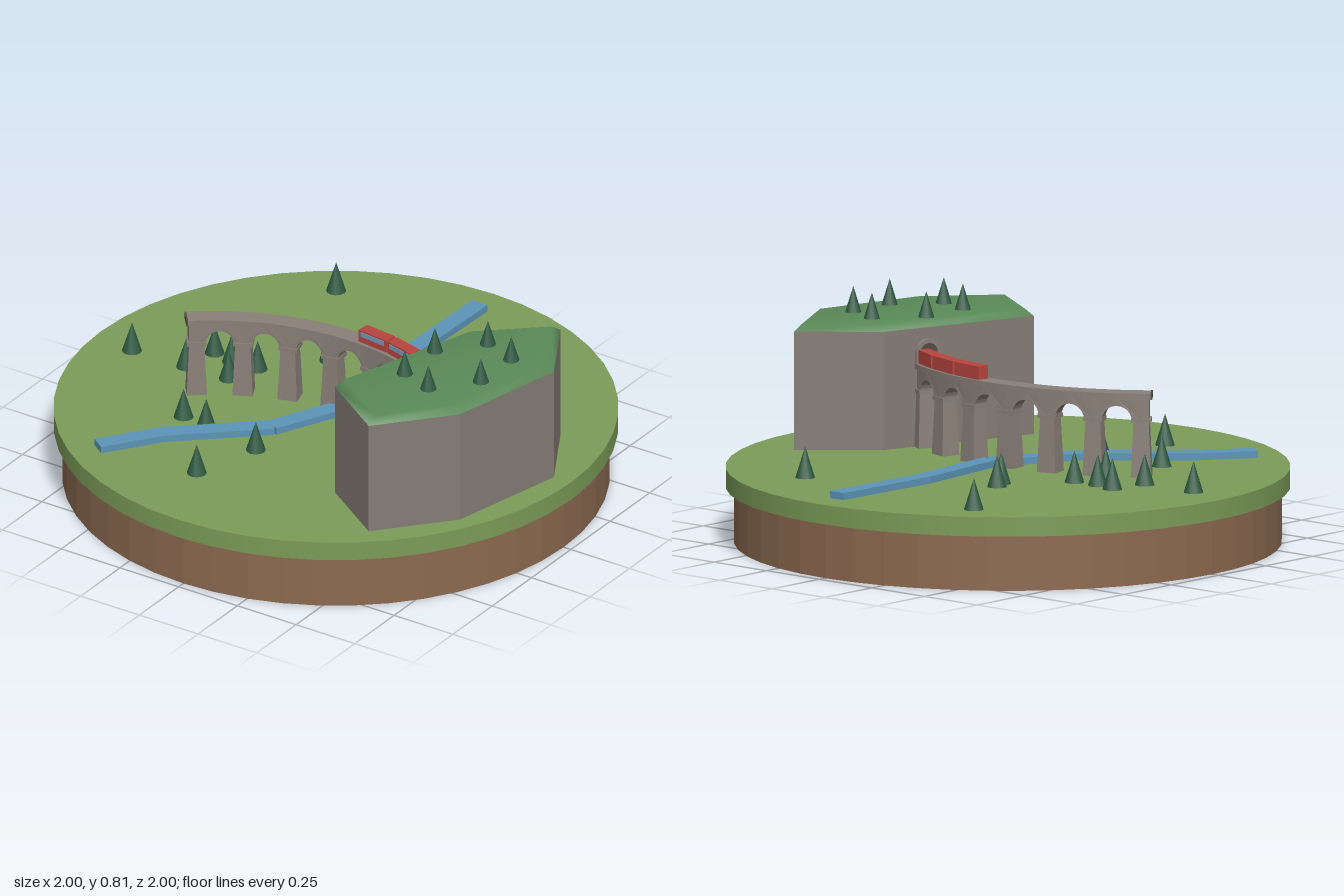
import * as THREE from 'three';

const mat = (name, color, extra = {}) => Object.assign(new THREE.MeshStandardMaterial({ color, ...extra }), { name });

export function createModel() {
  const root = new THREE.Group();
  root.name = 'valleyDiorama';
  const M = {
    grass: mat('grass', 0x7c9c58),
    soil: mat('soil', 0x8c6a50, { flatShading: true }),
    stone: mat('stone', 0x8a8078, { flatShading: true }),
    rock: mat('rock', 0x857d76, { flatShading: true }),
    forest: mat('forest', 0x5a8a58),
    tree: mat('tree', 0x2f5a42),
    water: mat('water', 0x5b94b8),
    red: mat('trainRed', 0xb8453f),
    glass: mat('windowBlue', 0x6f9dbd),
    dark: mat('darkStone', 0x544a44),
  };
  const add = (name, geo, m, parent = root) => {
    const mesh = new THREE.Mesh(geo, m);
    mesh.name = name;
    parent.add(mesh);
    return mesh;
  };
  const box = (w, h, d, y) => new THREE.BoxGeometry(w, h, d).translate(0, y, 0);

  // Round base
  add('soilBase', new THREE.CylinderGeometry(0.97, 0.97, 0.2, 48).translate(0, 0.1, 0), M.soil);
  add('grassPlate', new THREE.CylinderGeometry(1, 1, 0.07, 48).translate(0, 0.235, 0), M.grass);

  // River made of straight slabs
  const river = [[0.022, -0.88], [0.01, -0.44], [0.055, -0.03], [-0.09, 0.27], [-0.385, 0.53], [-0.525, 0.725]];
  for (let i = 0; i < river.length - 1; i++) {
    const [x0, z0] = river[i], [x1, z1] = river[i + 1];
    const dx = x1 - x0, dz = z1 - z0;
    const slab = add('riverSlab', box(0.066, 0.03, Math.hypot(dx, dz) + 0.006, 0.28), M.water);
    slab.position.set((x0 + x1) / 2, 0, (z0 + z1) / 2);
    slab.rotation.y = Math.atan2(dx, dz);
  }

  // The viaduct follows a circle seen from above; local x runs along it, +z to its centre
  const R = 0.9, CX = 0.07, CZ = 0.89, STEP = 0.187, START = -0.654;
  const bend = (geo) => {
    const p = geo.attributes.position;
    for (let i = 0; i < p.count; i++) {
      const a = p.getX(i) / R, r = R - p.getZ(i);
      p.setXYZ(i, CX + r * Math.sin(a), p.getY(i), CZ - r * Math.cos(a));
    }
    geo.computeVertexNormals();
    return geo;
  };
  const placeOnArc = (obj, a) => {
    obj.position.set(CX + R * Math.sin(a), 0, CZ - R * Math.cos(a));
    obj.rotation.y = -a;
    return obj;
  };
  const viaduct = new THREE.Group();
  viaduct.name = 'viaduct';
  root.add(viaduct);

  // Deck and its projecting edge course
  const strip = (a0, a1, h, d, y) =>
    bend(new THREE.BoxGeometry((a1 - a0) * R, h, d, 40, 1, 1).translate(((a0 + a1) / 2) * R, y, 0));
  add('deck', strip(-0.69, 0.49, 0.02, 0.07, 0.561), M.stone, viaduct);
  add('deckEnd', strip(-0.697, -0.69, 0.022, 0.07, 0.561), M.dark, viaduct);

  // Arched bays
  const bayLen = STEP * R, archR = 0.052, spring = 0.472;
  const bay = (i) => {
    const s = new THREE.Shape();
    s.moveTo(0, spring);
    for (let k = 0; k <= 12; k++) {
      const t = Math.PI * (1 - k / 12);
      s.lineTo(bayLen / 2 + archR * Math.cos(t), spring + archR * Math.sin(t));
    }
    s.lineTo(bayLen, spring);
    for (let k = 4; k >= 0; k--) s.lineTo((bayLen * k) / 4, 0.552);
    const g = new THREE.ExtrudeGeometry(s, { depth: 0.056, bevelEnabled: false });
    return bend(g.translate(START * R + i * bayLen, 0, -0.028));
  };
  for (let i = 0; i < 6; i++) add('archBay', bay(i), M.stone, viaduct);
  add('endSpandrel', strip(-0.685, START, 0.08, 0.056, 0.512), M.stone, viaduct);

  // Tapered piers with imposts
  for (let i = 0; i < 7; i++) {
    const pier = new THREE.Group();
    pier.name = 'pier';
    const shaft = new THREE.BoxGeometry(0.054, 0.21, 0.054).translate(0, 0.37, 0);
    const p = shaft.attributes.position;
    for (let k = 0; k < p.count; k++) {
      if (p.getY(k) < 0.3) p.setXYZ(k, p.getX(k) * 1.35, p.getY(k), p.getZ(k) * 1.3);
    }
    shaft.computeVertexNormals();
    add('pierShaft', shaft, M.stone, pier);
    add('impost', box(0.07, 0.014, 0.064, 0.472), M.stone, pier);
    viaduct.add(placeOnArc(pier, START + i * STEP));
  }

  // Three train cars with windows on the inner side of the curve
  for (const a of [0.112, 0.264, 0.416]) {
    const car = new THREE.Group();
    car.name = 'trainCar';
    add('carBody', box(0.128, 0.048, 0.046, 0.595), M.red, car);
    add('carWindow', box(0.108, 0.018, 0.004, 0.604), M.glass, car).position.z = 0.0235;
    root.add(placeOnArc(car, a));
  }

  // Mountain block, outline listed counter-clockwise from above
  const outline = [[0.775, -0.27], [0.535, -0.06], [0.348, 0.525], [0.605, 0.695], [0.825, 0.445], [0.928, 0]];
  const shape = new THREE.Shape(outline.map(([x, z]) => new THREE.Vector2(x, -z)));
  const block = new THREE.ExtrudeGeometry(shape, { depth: 0.43, bevelEnabled: false });
  add('mountainRock', block.rotateX(-Math.PI / 2).translate(0, 0.265, 0), M.rock);

  // Softly shaded forest cap: outer ring, inset ring, centre
  const mid = [0.64, 0.21], pos = [], idx = [], n = outline.length;
  for (const [k, y] of [[1, 0.695], [0.925, 0.722]]) {
    for (const [x, z] of outline) pos.push(mid[0] + (x - mid[0]) * k, y, mid[1] + (z - mid[1]) * k);
  }
  pos.push(mid[0], 0.722, mid[1]);
  for (let i = 0; i < n; i++) {
    const j = (i + 1) % n;
    idx.push(i, j, n + j, i, n + j, n + i, n + i, n + j, 2 * n);
  }
  const cap = new THREE.BufferGeometry();
  cap.setAttribute('position', new THREE.Float32BufferAttribute(pos, 3));
  cap.setIndex(idx);
  cap.computeVertexNormals();
  add('forestCap', cap, M.forest);

  // Tunnel portal on the mountain wall
  const arch = (w, top) => {
    const s = new THREE.Shape();
    s.moveTo(-w, 0.55);
    s.lineTo(w, 0.55);
    s.lineTo(w, top - w);
    s.absarc(0, top - w, w, 0, Math.PI, false);
    s.lineTo(-w, 0.55);
    return s;
  };
  const frame = arch(0.05, 0.655);
  frame.holes.push(arch(0.037, 0.64));
  const portal = new THREE.Group();
  portal.name = 'tunnelPortal';
  portal.position.set(0.481, 0, 0.108);
  portal.rotation.y = Math.atan2(-0.585, -0.187);
  add('portalFrame', new THREE.ExtrudeGeometry(frame, { depth: 0.012, bevelEnabled: false }), M.stone, portal);
  add('tunnelMouth', new THREE.ExtrudeGeometry(arch(0.037, 0.64), { depth: 0.004, bevelEnabled: false }), M.dark, portal);
  root.add(portal);

  // Conifers on the meadow and on the mountain
  const cone = new THREE.ConeGeometry(0.037, 0.118, 12).translate(0, 0.059, 0);
  const plant = (spots, y) => spots.forEach(([x, z]) => add('conifer', cone, M.tree).position.set(x, y, z));
  plant([[-0.475, -0.71], [0.385, -0.645], [-0.24, -0.325], [-0.21, -0.27], [-0.577, -0.09], [-0.49, -0.07],
    [-0.385, -0.077], [-0.83, 0.058], [-0.605, 0.05], [-0.43, 0.04], [-0.408, 0.36], [-0.3, 0.377],
    [-0.06, 0.42], [-0.14, 0.676]], 0.265);
  plant([[0.647, 0], [0.78, 0.05], [0.52, 0.147], [0.78, 0.243], [0.524, 0.345], [0.655, 0.39]], 0.697);

  return root;
}
